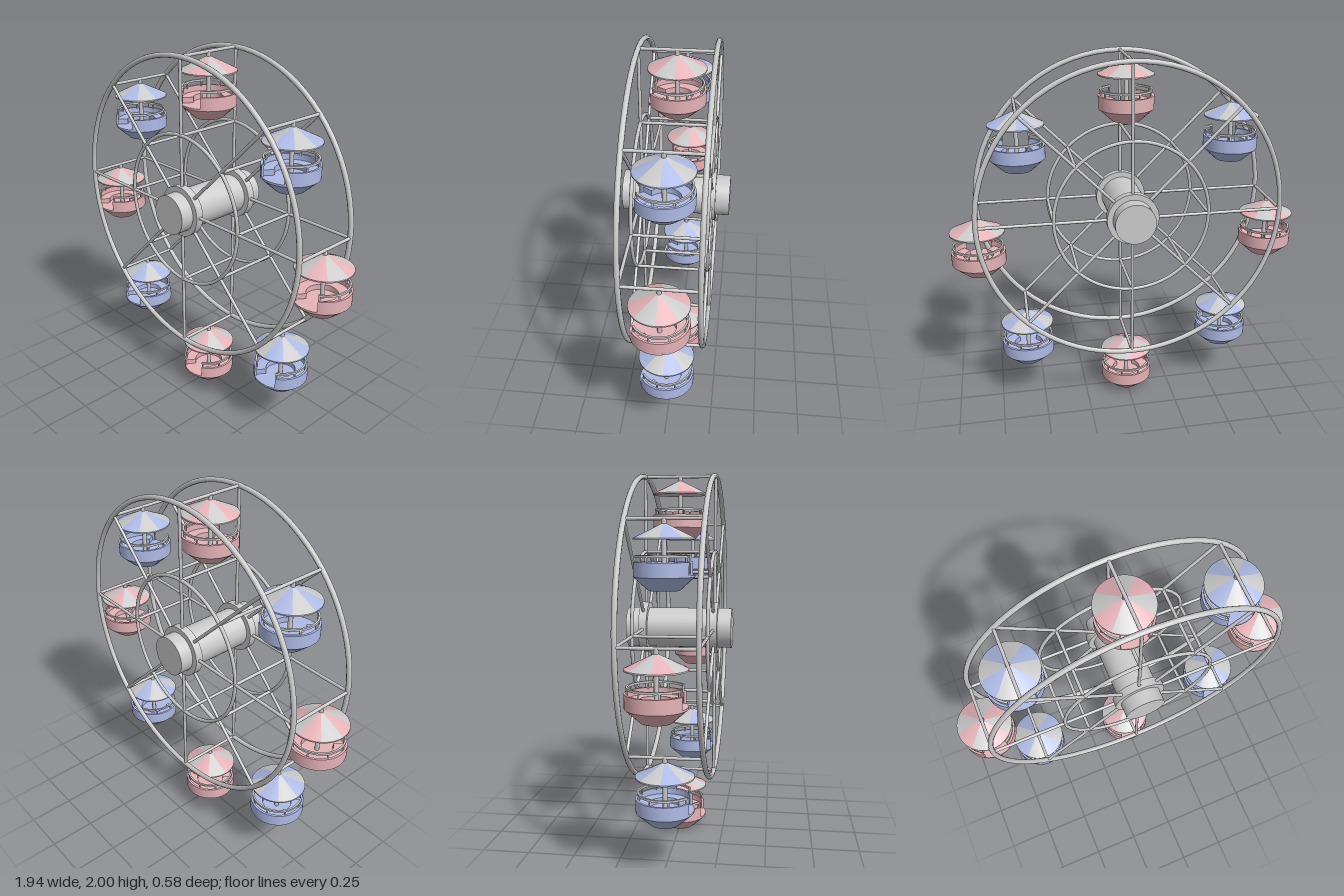
import * as THREE from 'three';
import { toCreasedNormals } from 'three/addons/utils/BufferGeometryUtils.js';

const CENTRE_Y = 1.163, RING_R = 0.823, INNER_R = 0.42, RING_Z = 0.193;
const material = (color) => new THREE.MeshStandardMaterial({ color });
const grey = material(0xcccccc);
const pink = material(0xe6b3b8);
const blue = material(0xaebbe6);

function add(parent, name, geometry, mat = grey) {
  const mesh = new THREE.Mesh(geometry, mat);
  mesh.name = name;
  parent.add(mesh);
  return mesh;
}

// Round bar between two points
function bar(parent, name, a, b, radius) {
  const dir = b.clone().sub(a);
  const mesh = add(parent, name, new THREE.CylinderGeometry(radius, radius, dir.length(), 10));
  mesh.position.copy(a).add(b).multiplyScalar(0.5);
  mesh.quaternion.setFromUnitVectors(new THREE.Vector3(0, 1, 0), dir.normalize());
  return mesh;
}

// Upright curved band, open towards +z by `gap` radians on each side
function openBand(rIn, rOut, bottom, height, gap) {
  const shape = new THREE.Shape();
  const from = -Math.PI / 2 + gap, to = 1.5 * Math.PI - gap;
  shape.absarc(0, 0, rOut, from, to, false);
  shape.absarc(0, 0, rIn, to, from, true);
  const geometry = new THREE.ExtrudeGeometry(shape, { depth: height, bevelEnabled: false, curveSegments: 28 });
  geometry.rotateX(-Math.PI / 2).translate(0, bottom, 0);
  return toCreasedNormals(geometry, 0.6);
}

function lathe(points, segments, start = 0, length = Math.PI * 2) {
  const profile = points.map(([x, y]) => new THREE.Vector2(x, y));
  return toCreasedNormals(new THREE.LatheGeometry(profile, segments, start, length), 0.4);
}

// Gondola geometry, measured down from its hanging bar
const doorGap = 0.52;
const bowlGeometry = lathe([[0, -0.338], [0.076, -0.338], [0.148, -0.273], [0.148, -0.263], [0, -0.263]], 32);
const wallGeometry = openBand(0.136, 0.148, -0.264, 0.061, doorGap);
const benchGeometry = openBand(0.08, 0.137, -0.264, 0.03, 0.62);
const railGeometry = openBand(0.13, 0.14, -0.182, 0.011, doorGap);
const sectorGeometry = lathe([[0, -0.098], [0.149, -0.098], [0.149, -0.091], [0, -0.018]], 5, 0, Math.PI / 4);

function gondola(color) {
  const group = new THREE.Group();
  group.name = 'gondola';
  add(group, 'tubBase', bowlGeometry, color);
  add(group, 'tubWall', wallGeometry, color);
  add(group, 'bench', benchGeometry, color);
  add(group, 'handRail', railGeometry);

  // Striped canopy
  for (let i = 0; i < 8; i++) {
    add(group, 'canopyPanel', sectorGeometry, i % 2 ? grey : color).rotation.y = i * Math.PI / 4;
  }

  // Posts under the hand rail
  const posts = 8, first = doorGap + 0.04;
  for (let i = 0; i < posts; i++) {
    const a = first + i * (2 * Math.PI - 2 * first) / (posts - 1);
    const x = 0.135 * Math.sin(a), z = 0.135 * Math.cos(a);
    bar(group, 'railPost', new THREE.Vector3(x, -0.21, z), new THREE.Vector3(x, -0.176, z), 0.005);
  }
  bar(group, 'centrePole', new THREE.Vector3(0, -0.265, 0), new THREE.Vector3(0, 0, 0), 0.012);
  return group;
}

export function createModel() {
  const model = new THREE.Group();
  model.name = 'ferrisWheel';
  const wheel = new THREE.Group();
  wheel.name = 'wheel';
  wheel.position.y = CENTRE_Y;
  model.add(wheel);

  // Axle
  add(wheel, 'axle', new THREE.CylinderGeometry(0.11, 0.11, 0.58, 40)).rotation.x = Math.PI / 2;

  // Rims and flanges on both sides
  for (const z of [RING_Z, -RING_Z]) {
    add(wheel, 'outerRing', new THREE.TorusGeometry(RING_R, 0.014, 10, 80)).position.z = z;
    add(wheel, 'innerRing', new THREE.TorusGeometry(INNER_R, 0.01, 8, 64)).position.z = z;
    const flange = add(wheel, 'hubFlange', new THREE.CylinderGeometry(0.141, 0.141, 0.044, 40));
    flange.rotation.x = Math.PI / 2;
    flange.position.z = z;
  }

  // Spokes, cross bars and gondolas
  for (let i = 0; i < 8; i++) {
    const a = i * Math.PI / 4;
    const at = (r, z) => new THREE.Vector3(r * Math.cos(a), r * Math.sin(a), z);
    for (const z of [RING_Z, -RING_Z]) bar(wheel, 'spoke', at(0.1, z), at(RING_R, z), 0.009);
    for (const r of [INNER_R, RING_R]) bar(wheel, 'crossBar', at(r, -RING_Z), at(r, RING_Z), 0.009);
    const cabin = gondola(i % 2 ? blue : pink);
    cabin.position.copy(at(RING_R, 0));
    wheel.add(cabin);
  }
  return model;
}
